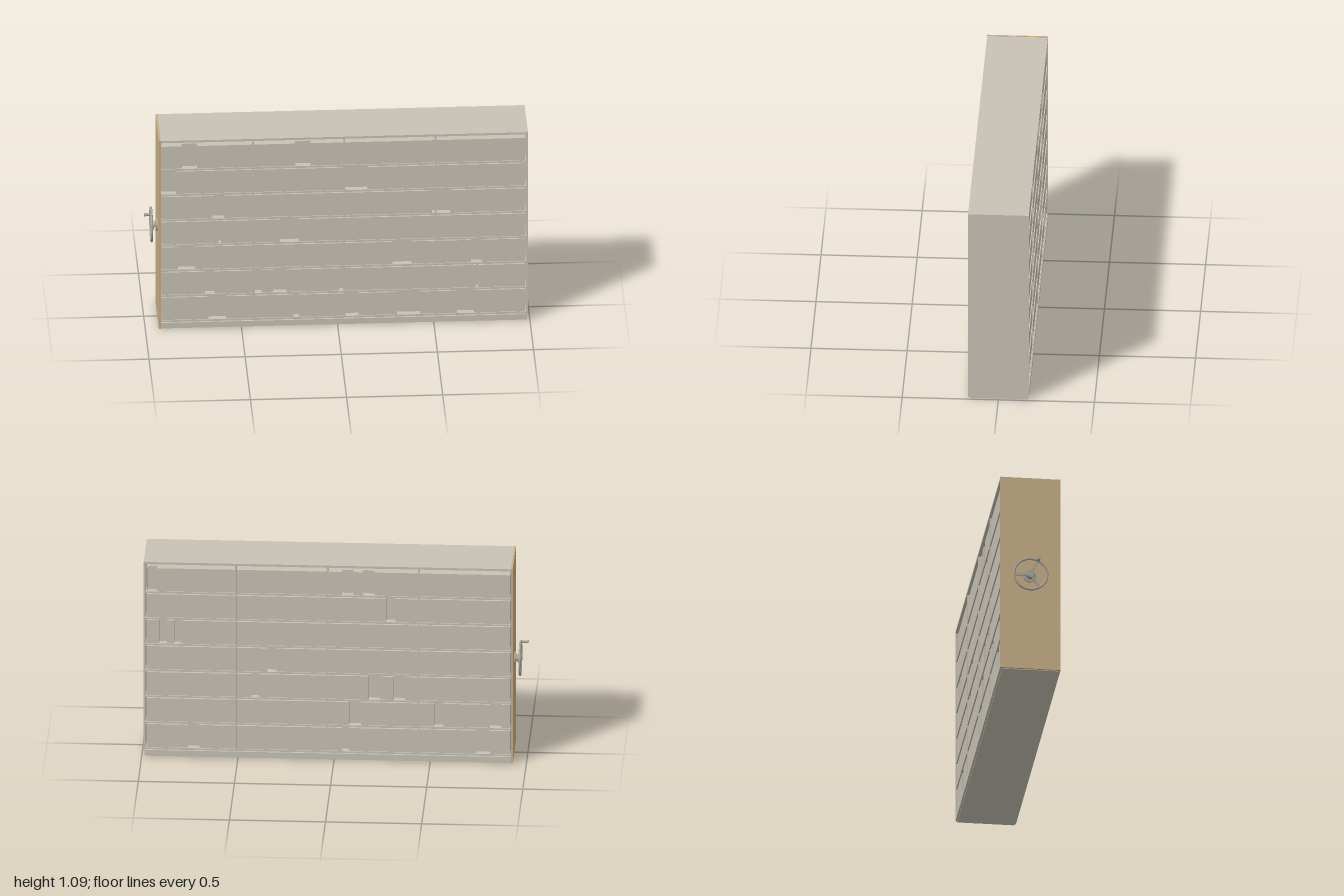
import * as THREE from 'three';

const mat = (name, color) => {
  const m = new THREE.MeshStandardMaterial({ color });
  m.name = name;
  return m;
};

export function createModel() {
  const steel = mat('warm grey steel', 0xc8c2b5);
  const wood = mat('tan end panel', 0xc8ae86);
  const metal = mat('wheel metal', 0xaaa598);
  const root = new THREE.Group();
  root.name = 'mobileShelving';

  const add = (parent, name, geo, m, x, y, z) => {
    const mesh = new THREE.Mesh(geo, m);
    mesh.name = name;
    mesh.position.set(x, y, z);
    parent.add(mesh);
    return mesh;
  };
  // box given by its two extreme corners
  const span = (parent, name, m, x0, x1, y0, y1, z0, z1) =>
    add(parent, name, new THREE.BoxGeometry(x1 - x0, y1 - y0, z1 - z0), m,
      (x0 + x1) / 2, (y0 + y1) / 2, (z0 + z1) / 2);

  const L = -0.93, R = 0.99, D = 0.158;

  // carriage base with a lip along both long sides
  span(root, 'base', steel, L + 0.01, R - 0.004, 0, 0.04, -0.148, 0.148);
  for (const s of [-1, 1]) {
    span(root, 'baseLip', steel, L + 0.01, R - 0.004, 0.005, 0.037,
      s > 0 ? 0.148 : -D, s > 0 ? D : -0.148);
  }

  // end panels and top
  span(root, 'handleEndPanel', wood, L, L + 0.01, 0.003, 1.094, -D, D);
  span(root, 'farEndPanel', steel, R - 0.01, R, 0.038, 1.08, -D, D);
  span(root, 'topPanel', steel, L + 0.01, R, 1.08, 1.092, -D, D);

  // shelves and uprights
  const pitch = 0.146, rows = 7;
  const shelfY = (i) => 0.04 + pitch * i;
  for (let i = 0; i < rows; i++) {
    span(root, 'shelf', steel, L + 0.01, R - 0.01, shelfY(i), shelfY(i) + 0.01, -0.155, 0.155);
  }
  const uprights = [-0.44, 0.035, 0.51];
  for (const x of uprights) {
    span(root, 'upright', steel, x - 0.004, x + 0.004, 0.04, 1.08, -0.155, 0.155);
  }

  // set-back boxes of each row (start and end x), bottom row first
  const frontSetBack = [
    [[-0.67, -0.58], [-0.23, -0.2], [0.04, 0.11], [0.31, 0.43], [0.62, 0.71]],
    [[-0.69, -0.64], [-0.43, -0.395], [-0.335, -0.265], [0.01, 0.03], [0.72, 0.732]],
    [[-0.83, -0.74], [0.285, 0.385], [0.695, 0.75]],
    [[-0.62, -0.605], [-0.3, -0.2]],
    [[-0.65, -0.59], [0.49, 0.506], [0.515, 0.585]],
    [[-0.918, -0.84], [0.04, 0.155]],
    [[-0.81, -0.73], [-0.22, -0.14]],
  ];
  const backSetBack = [
    [[0.7, 0.76], [-0.08, -0.04], [-0.81, -0.74]],
    [[-0.14, -0.08], [-0.57, -0.52], [-0.87, -0.81]],
    [[0.39, 0.43], [-0.24, -0.18], [-0.37, -0.31]],
    [[0.3, 0.35]],
    [[0.87, 0.91], [0.8, 0.83]],
    [[-0.32, -0.27]],
    [[0.92, 0.97], [-0.1, -0.04], [-0.21, -0.15]],
  ];

  // fill each bay with archive boxes on one side of the unit
  const bays = [L + 0.01, ...uprights, R - 0.01];
  const fillSide = (name, side, table) => {
    const g = new THREE.Group();
    g.name = name;
    root.add(g);
    table.forEach((gaps, i) => {
      const y0 = shelfY(i) + 0.01, y1 = y0 + 0.129;
      for (let b = 0; b < 4; b++) {
        const x0 = bays[b] + 0.004, x1 = bays[b + 1] - 0.004;
        const cuts = [x0, ...gaps.flat().filter((x) => x > x0 && x < x1), x1].sort((p, q) => p - q);
        for (let k = 0; k + 1 < cuts.length; k++) {
          const mid = (cuts[k] + cuts[k + 1]) / 2;
          const back = gaps.some(([p, q]) => mid > p && mid < q);
          const z = back ? 0.12 : 0.15;
          span(g, back ? 'setBackBox' : 'archiveBox', steel, cuts[k], cuts[k + 1], y0, y1,
            side > 0 ? 0.002 : -z, side > 0 ? z : -0.002);
        }
      }
    });
  };
  fillSide('frontBoxes', 1, frontSetBack);
  fillSide('backBoxes', -1, backSetBack);

  // hand wheel; its local +z axis points out of the end panel
  const wheel = new THREE.Group();
  wheel.name = 'handWheel';
  wheel.position.set(L, 0.53, -0.003);
  wheel.rotation.y = -Math.PI / 2;
  root.add(wheel);
  const disc = (name, r, z0, z1, x = 0, y = 0, r2 = r) => {
    const geo = new THREE.CylinderGeometry(r2, r, z1 - z0, 24).rotateX(Math.PI / 2);
    add(wheel, name, geo, metal, x, y, (z0 + z1) / 2);
  };
  disc('mountingFlange', 0.034, 0, 0.008);
  disc('axle', 0.015, 0.008, 0.022);
  disc('hub', 0.024, 0.018, 0.036, 0, 0, 0.018);
  add(wheel, 'rim', new THREE.TorusGeometry(0.087, 0.006, 10, 48), metal, 0, 0, 0.031);
  const start = Math.atan2(0.078, 0.04);
  for (let i = 0; i < 3; i++) {
    const a = start + (i * Math.PI * 2) / 3;
    const spoke = add(wheel, 'spoke', new THREE.BoxGeometry(0.07, 0.012, 0.006), metal,
      Math.cos(a) * 0.052, Math.sin(a) * 0.052, 0.03);
    spoke.rotation.z = a;
  }
  disc('crankHandle', 0.007, 0.03, 0.07, 0.04, 0.078, 0.009);

  return root;
}
